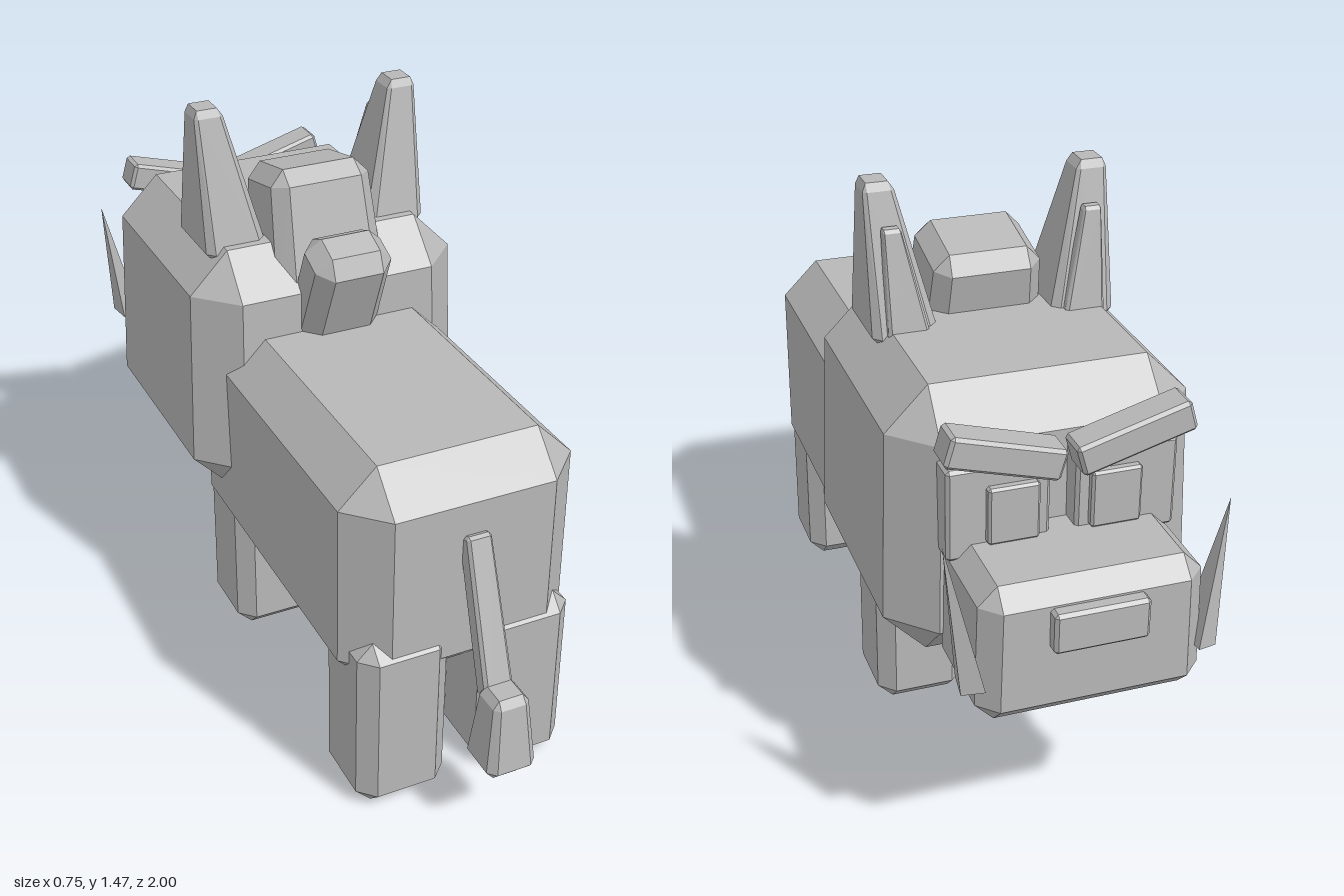
import * as THREE from 'three';
import { ConvexGeometry } from 'three/addons/geometries/ConvexGeometry.js';

const grey = new THREE.MeshStandardMaterial({ color: 0xb8b8b8 });
grey.name = 'grey';

// Box with all edges bevelled; the top may be scaled and shifted against the bottom.
function bevelBox(w, h, d, c, { topX = 1, topZ = 1, shiftX = 0, shiftZ = 0 } = {}) {
  const pts = [];
  for (const sx of [-1, 1]) for (const sy of [-1, 1]) for (const sz of [-1, 1]) {
    for (let full = 0; full < 3; full++) {
      const y = sy * (h / 2 - (full === 1 ? 0 : c));
      const t = y / h + 0.5;
      pts.push(new THREE.Vector3(
        sx * (w / 2 - (full === 0 ? 0 : c)) * (1 + (topX - 1) * t) + shiftX * t,
        y,
        sz * (d / 2 - (full === 2 ? 0 : c)) * (1 + (topZ - 1) * t) + shiftZ * t));
    }
  }
  return new ConvexGeometry(pts);
}

export function createModel() {
  const model = new THREE.Group();
  model.name = 'boar';

  const add = (name, geometry, x, y, z, rx = 0, rz = 0) => {
    const mesh = new THREE.Mesh(geometry, grey);
    mesh.name = name;
    mesh.position.set(x, y, z);
    mesh.rotation.set(rx, 0, rz);
    model.add(mesh);
    return mesh;
  };

  // Trunk, head and snout; the face looks towards -z
  add('body', bevelBox(0.6, 0.61, 1.0, 0.095), 0, 0.615, 0.27);
  add('head', bevelBox(0.757, 0.68, 0.76, 0.105, { topX: 0.945, topZ: 0.95 }), 0, 0.79, -0.325);
  add('snout', bevelBox(0.53, 0.34, 0.32, 0.045, { topX: 0.97, topZ: 0.98 }), 0, 0.64, -0.81);
  add('nose', bevelBox(0.22, 0.1, 0.06, 0.008), 0, 0.71, -0.97);

  // Crest between the ears and the tuft behind it
  add('crest', bevelBox(0.3, 0.34, 0.25, 0.04, { topX: 0.87, topZ: 0.9 }), 0, 1.125, -0.125, -0.22);
  add('neckTuft', bevelBox(0.215, 0.33, 0.15, 0.04, { topX: 0.95 }), 0, 1.015, 0.04, 0.4);

  // Tail hanging from the rear
  add('tailStem', bevelBox(0.075, 0.39, 0.05, 0.008, { topX: 0.85 }), 0, 0.555, 0.83, -0.34);
  add('tailTip', bevelBox(0.13, 0.21, 0.135, 0.02, { topX: 0.68, topZ: 0.62 }), 0, 0.305, 0.932);

  // Mirrored parts
  for (const [side, s] of [['left', 1], ['right', -1]]) {
    add(side + 'HindLeg', bevelBox(0.235, 0.48, 0.235, 0.04), s * 0.162, 0.24, 0.66);
    add(side + 'ForeLeg', bevelBox(0.235, 0.48, 0.235, 0.04), s * 0.162, 0.24, -0.1);

    add(side + 'Ear', bevelBox(0.165, 0.375, 0.23, 0.02,
      { topX: 0.42, topZ: 0.3, shiftX: s * 0.045, shiftZ: 0.005 }), s * 0.217, 1.278, -0.193);
    add(side + 'InnerEar', bevelBox(0.105, 0.27, 0.04, 0.008,
      { topX: 0.4, topZ: 0.8, shiftX: s * 0.03, shiftZ: 0.04 }), s * 0.215, 1.235, -0.303);

    add(side + 'Eye', bevelBox(0.24, 0.225, 0.08, 0.008), s * 0.15, 0.885, -0.71);
    add(side + 'Pupil', bevelBox(0.12, 0.14, 0.04, 0.006), s * 0.12, 0.88, -0.75);
    add(side + 'Brow', bevelBox(0.275, 0.075, 0.085, 0.008), s * 0.15, 1.035, -0.76, 0, s * 0.28);

    // Tusk: a narrow pyramid leaning outwards
    add(side + 'Tusk', new ConvexGeometry([
      [0.24, 0.57, -0.88], [0.29, 0.56, -0.87], [0.3, 0.56, -0.94],
      [0.25, 0.57, -0.96], [0.328, 0.915, -0.902],
    ].map(([x, y, z]) => new THREE.Vector3(s * x, y, z))), 0, 0, 0);
  }
  return model;
}
